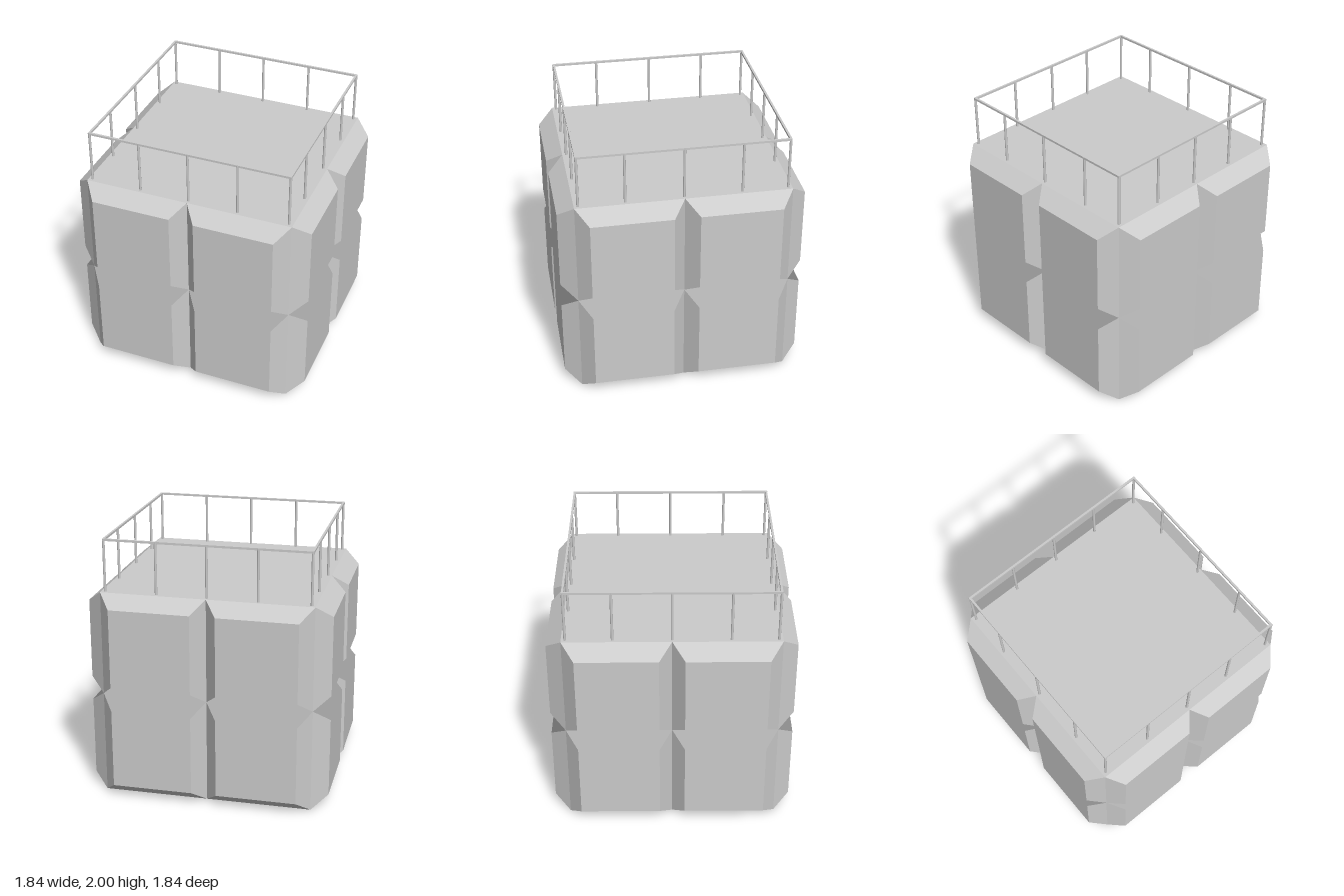
import * as THREE from 'three';

const material = new THREE.MeshStandardMaterial({ color: 0xcccccc });
const HALF = 0.8;      // half width of the block
const HEIGHT = 1.6;    // height of the block
const BEVEL = 0.095;   // bevel measured along the wall
const OUT = 0.92;      // distance of the raised panel face from the centre

// Mesh from triangles [a, b, c, facing]; each is turned to its facing.
// Triangles of the panel face share one flat normal, so it shades evenly.
function panelMesh(triangles) {
  const positions = [], normals = [];
  const [A, B, C] = [0, 1, 2].map(() => new THREE.Vector3());
  for (const [a, b, c, shared] of triangles) {
    A.set(...a); B.set(...b); C.set(...c);
    const n = B.clone().sub(A).cross(C.clone().sub(A)).normalize();
    const flip = n.z < 0;
    if (flip) n.negate();
    if (shared) n.set(0, 0, 1);
    for (const p of flip ? [a, c, b] : [a, b, c]) {
      positions.push(...p);
      normals.push(n.x, n.y, n.z);
    }
  }
  const geometry = new THREE.BufferGeometry();
  geometry.setAttribute('position', new THREE.Float32BufferAttribute(positions, 3));
  geometry.setAttribute('normal', new THREE.Float32BufferAttribute(normals, 3));
  return new THREE.Mesh(geometry, material);
}

// One tall bevelled panel, pinched at mid height. The pinch cuts a groove
// that deepens toward the "far" side; side = +1 puts that side at the right.
function createPanel(centre, side) {
  const half = HALF / 2, mid = HEIGHT / 2;
  const face = (s, y) => [centre + s * side * (half - BEVEL), y, OUT];
  const wall = (s, y) => [centre + s * side * half, y, HALF];
  const tris = [];
  const quad = (a, b, c, d, shared) => tris.push([a, b, c, shared], [a, c, d, shared]);

  for (const [end, outer, inner] of [
    [HEIGHT, HEIGHT - BEVEL, mid + BEVEL],
    [0, BEVEL, mid - BEVEL],
  ]) {
    // flat face of this half
    quad(face(-1, outer), face(1, outer), face(1, inner), face(-1, inner), true);
    // bevel at the top or bottom end
    quad(face(-1, outer), face(1, outer), wall(1, end), wall(-1, end), false);
    // bevels along both sides
    for (const s of [-1, 1]) {
      quad(face(s, outer), face(s, inner), wall(s, mid), wall(s, end), false);
    }
    // slope of the groove
    tris.push([face(-1, inner), face(1, inner), wall(1, mid), true]);
  }
  // groove floor and the small triangle closing its shallow end
  const up = face(-1, mid + BEVEL), down = face(-1, mid - BEVEL);
  tris.push([up, down, wall(1, mid), true], [up, down, wall(-1, mid), true]);
  return panelMesh(tris);
}

function createBlock() {
  const block = new THREE.Group();
  block.name = 'block';
  // two panels on each of the four walls
  for (let i = 0; i < 4; i++) {
    const wall = new THREE.Group();
    wall.name = ['frontWall', 'leftWall', 'backWall', 'rightWall'][i];
    wall.rotation.y = i * Math.PI / 2;
    for (const s of [-1, 1]) {
      const panel = createPanel(s * HALF / 2, i % 2 === 0 ? s : 1);
      panel.name = 'bevelledPanel';
      wall.add(panel);
    }
    block.add(wall);
  }
  // deck and underside
  for (const [name, y, turn] of [['deck', HEIGHT, -1], ['underside', 0, 1]]) {
    const plane = new THREE.Mesh(new THREE.PlaneGeometry(2 * HALF, 2 * HALF), material);
    plane.name = name;
    plane.rotation.x = turn * Math.PI / 2;
    plane.position.y = y;
    block.add(plane);
  }
  return block;
}

function createRailing() {
  const railing = new THREE.Group();
  railing.name = 'railing';
  const R = 0.77, top = 2, bar = 0.016;
  const postGeometry = new THREE.CylinderGeometry(0.01, 0.01, top - HEIGHT - 0.005, 8);
  const addPost = (x, z) => {
    const post = new THREE.Mesh(postGeometry, material);
    post.name = 'railPost';
    post.position.set(x, (top + HEIGHT - 0.005) / 2, z);
    railing.add(post);
  };
  const addRail = (w, d, x, z) => {
    const rail = new THREE.Mesh(new THREE.BoxGeometry(w, bar, d), material);
    rail.name = 'topRail';
    rail.position.set(x, top - bar / 2, z);
    railing.add(rail);
  };
  for (const s of [-1, 1]) {
    addRail(2 * R + bar, bar, 0, s * R);
    addRail(bar, 2 * R - bar, s * R, 0);
    for (const x of [-R, -0.38, 0, 0.38, R]) addPost(x, s * R);
    for (const z of [-0.43, 0, 0.43]) addPost(s * R, z);
  }
  return railing;
}

export function createModel() {
  const model = new THREE.Group();
  model.name = 'railedBlock';
  model.add(createBlock(), createRailing());
  return model;
}
